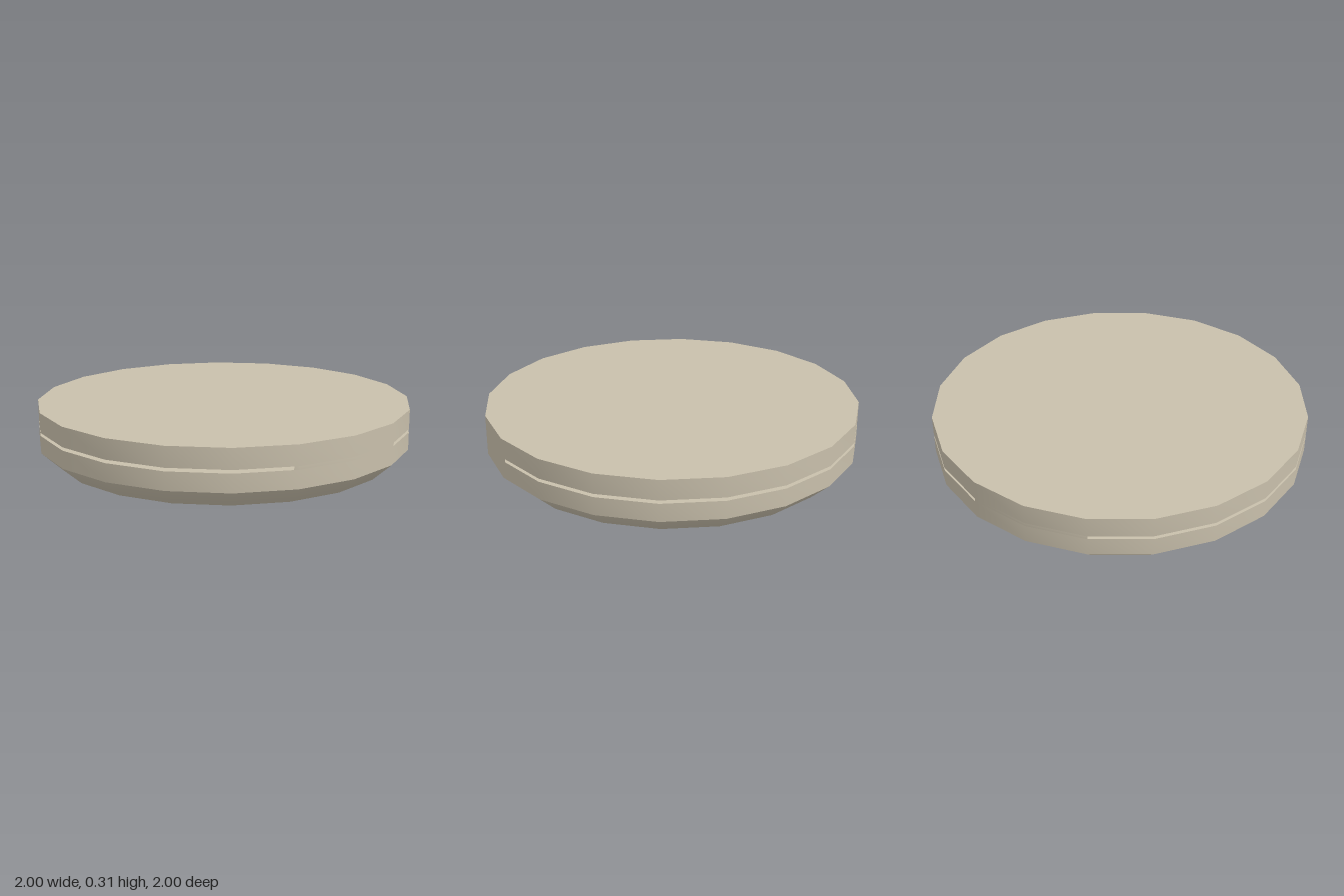
import * as THREE from 'three';
import { toCreasedNormals } from 'three/addons/utils/BufferGeometryUtils.js';

const SIDES = 20;
const BASE = 0.002, SLOT_LOW = 0.194, SLOT_HIGH = 0.211, TOP = 0.315;

const shellMaterial = new THREE.MeshStandardMaterial({ color: 0xc8bfab });
const padMaterial = new THREE.MeshStandardMaterial({ color: 0xb4bcc4 });

function addMesh(parent, name, geometry, material = shellMaterial) {
  const mesh = new THREE.Mesh(geometry, material);
  mesh.name = name;
  parent.add(mesh);
  return mesh;
}

// Turned part: smooth around the rim, sharp between the profile's bands
function turned(profile, sides) {
  const points = profile.map(([r, y]) => new THREE.Vector2(r, y));
  return toCreasedNormals(new THREE.LatheGeometry(points, sides), 0.5);
}

function ring(radius, sides) {
  return Array.from({ length: sides }, (_, i) => {
    const a = (i / sides) * Math.PI * 2;
    return new THREE.Vector2(radius * Math.cos(a), radius * Math.sin(a));
  });
}

// Part of the 20-sided rim outside a cut at x = cut, filling the slot's height
function bridge(cut, side) {
  const [, corner, next] = ring(1, SIDES);
  const t = (corner.x - cut) / (corner.x - next.x);
  const z = corner.y + t * (next.y - corner.y);
  const outline = [[cut, -z], [corner.x, -corner.y], [1, 0], [corner.x, corner.y], [cut, z]];
  const shape = new THREE.Shape(outline.map(([x, y]) => new THREE.Vector2(side * x, y)));
  const geometry = new THREE.ExtrudeGeometry(shape, { depth: SLOT_HIGH - SLOT_LOW, bevelEnabled: false });
  geometry.rotateX(Math.PI / 2).translate(0, SLOT_HIGH, 0);
  return toCreasedNormals(geometry, 0.5);
}

export function createModel() {
  const model = new THREE.Group();
  model.name = 'slottedDisc';

  // Lower body with chamfered foot
  addMesh(model, 'lowerBody', turned([
    [0.88, BASE], [0.9, 0.008], [1, 0.1], [1, SLOT_LOW], [0, SLOT_LOW],
  ], SIDES));

  // Underside with a round opening
  const underside = new THREE.Shape(ring(0.88, SIDES));
  underside.holes.push(new THREE.Path(ring(0.24, 40)));
  addMesh(model, 'underside',
    new THREE.ShapeGeometry(underside).rotateX(Math.PI / 2).translate(0, BASE, 0));

  // Blind centre hole with a rounded mouth
  addMesh(model, 'centreHole', turned([
    [0, 0.1], [0.207, 0.1], [0.207, 0.03], [0.213, 0.014], [0.224, 0.005], [0.24, BASE],
  ], 40));

  // Upper plate above the slot
  addMesh(model, 'upperPlate', turned([
    [0, SLOT_HIGH], [1, SLOT_HIGH], [1, TOP], [0, TOP],
  ], SIDES));

  // Slim bridges that close the slot at both sides
  addMesh(model, 'leftBridge', bridge(0.94, 1));
  addMesh(model, 'rightBridge', bridge(0.95, -1));

  // Small pads on the underside
  for (const side of [1, -1]) {
    const pad = addMesh(model, side > 0 ? 'leftPad' : 'rightPad',
      new THREE.BoxGeometry(0.12, 0.01, 0.12), padMaterial);
    pad.position.set(side * 0.667, 0.005, 0);
  }

  return model;
}
